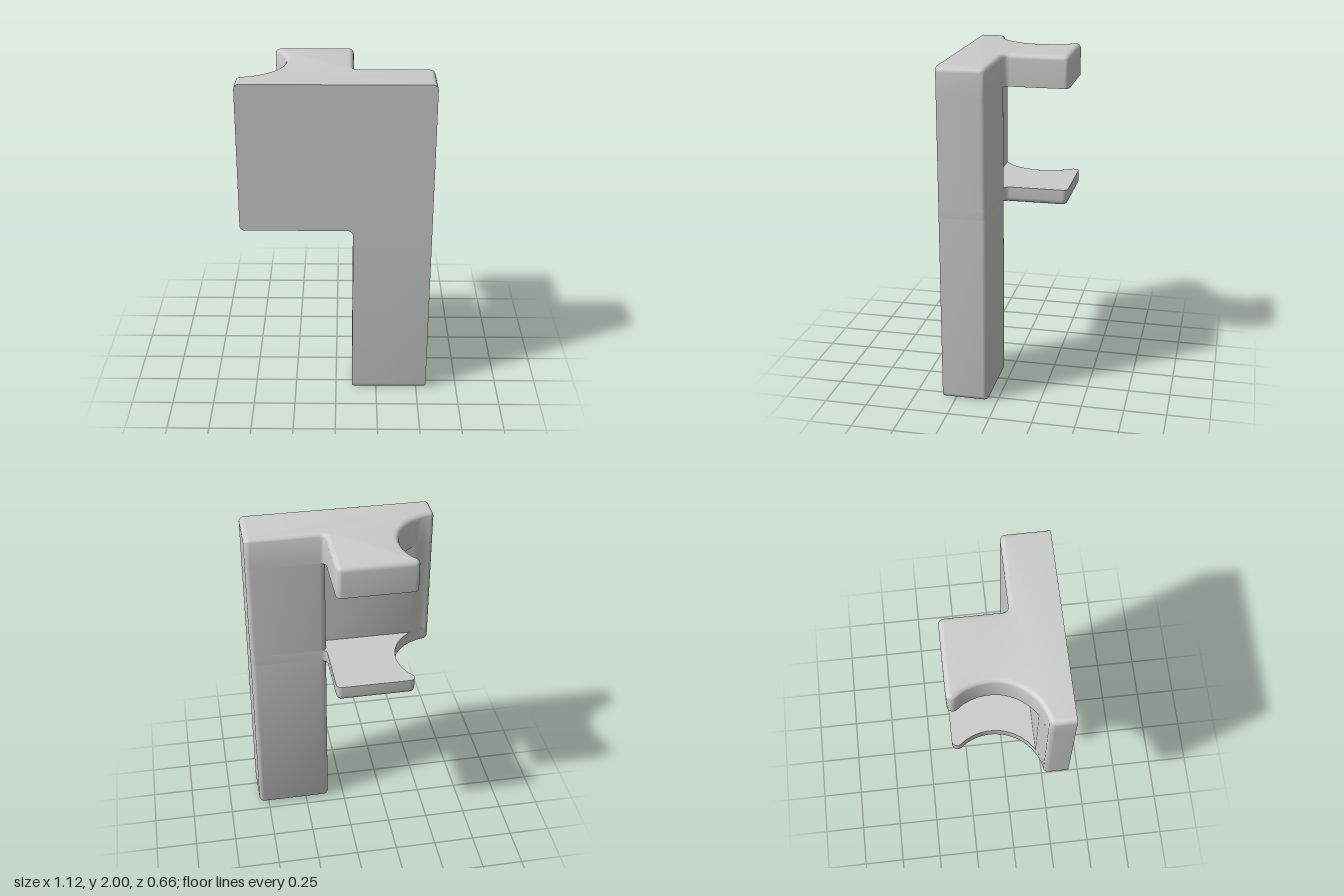
import * as THREE from 'three';
import { toCreasedNormals } from 'three/addons/utils/BufferGeometryUtils.js';

const R = 0.032;     // corner radius in plan
const B = 0.03;      // edge rounding in height
const FRONT = -0.33; // plan coordinate w = -z of the flat front

// Points along an arc, angles in degrees
function arc(cx, cw, r, a0, a1, n = 6) {
  return Array.from({ length: n + 1 }, (_, i) => {
    const a = THREE.MathUtils.degToRad(a0 + ((a1 - a0) * i) / n);
    return new THREE.Vector2(cx + r * Math.cos(a), cw + r * Math.sin(a));
  });
}

const pt = (x, w) => new THREE.Vector2(x, w);
const dedupe = (pts) => pts.filter((p, i) => i === 0 || p.distanceTo(pts[i - 1]) > 0.004);

// Mitred inset of a counter-clockwise outline; the front edge may stay in place
function inset(pts, d, keepFront) {
  const n = pts.length;
  const normal = (a, b) => pt(b.y - a.y, a.x - b.x).normalize();
  return pts.map((p, i) => {
    const n1 = normal(pts[(i + n - 1) % n], p);
    const n2 = normal(p, pts[(i + 1) % n]);
    const k = d / (1 + n1.dot(n2));
    const q = pt(p.x - (n1.x + n2.x) * k, p.y - (n1.y + n2.y) * k);
    if (keepFront && p.y < FRONT + 0.001) q.y = FRONT;
    return q;
  });
}

// Stack of inset outlines; levels are [y, inset] from bottom to top
function loft(pts, levels, { keepFront = true, bottom = true, top = true } = {}) {
  const rings = levels.map(([y, d]) =>
    inset(pts, d, keepFront).map((p) => new THREE.Vector3(p.x, y, -p.y)));
  const out = [];
  const tri = (...v) => v.forEach((p) => out.push(p.x, p.y, p.z));
  for (let l = 0; l + 1 < rings.length; l++) {
    const a = rings[l], b = rings[l + 1];
    for (let i = 0; i < a.length; i++) {
      const j = (i + 1) % a.length;
      tri(a[i], a[j], b[j]);
      tri(a[i], b[j], b[i]);
    }
  }
  const cap = (ring, up) => {
    const flat = ring.map((p) => pt(p.x, -p.z));
    for (const [a, b, c] of THREE.ShapeUtils.triangulateShape(flat, [])) {
      if (up) tri(ring[a], ring[b], ring[c]);
      else tri(ring[a], ring[c], ring[b]);
    }
  };
  if (bottom) cap(rings[0], false);
  if (top) cap(rings[rings.length - 1], true);
  const geo = new THREE.BufferGeometry();
  geo.setAttribute('position', new THREE.Float32BufferAttribute(out, 3));
  return toCreasedNormals(geo, 0.6);
}

// Quarter-round levels for a rounded top or bottom edge
const steps = [0, 1, 2, 3, 4, 5].map((i) => (i / 5) * Math.PI / 2);
const roundTop = (y) => steps.map((a) => [y - B + B * Math.sin(a), B * (1 - Math.cos(a))]);
const roundBottom = (y) => roundTop(0).map(([h, d]) => [y - h, d]).reverse();

export function createModel() {
  const group = new THREE.Group();
  const material = new THREE.MeshStandardMaterial({ color: 0xcccccc });
  const add = (name, geometry) => {
    const mesh = new THREE.Mesh(geometry, material);
    mesh.name = name;
    group.add(mesh);
    return mesh;
  };

  // Shared stretches of the plan outlines
  const frontAndLegSide = [pt(-0.56, FRONT), pt(0.56, FRONT), ...arc(0.56 - R, -0.05 - R, R, 0, 90)];
  const sideCorner = arc(-0.56 + R, -0.215, R, 100, 180);

  // Plan of the shelves with the round scoop
  const shelf = dedupe([
    ...frontAndLegSide,
    ...arc(0.1 + R, -0.05 + R, R, 270, 180),
    ...arc(0.1 - R, 0.33 - R, R, 0, 90),
    ...arc(-0.333, 0.33 - R, R, 90, 218),
    ...arc(-0.585, 0.1, 0.29, 38, -80, 14),
    ...sideCorner,
  ]);

  // Plan of the recessed panel between the shelves
  const panel = dedupe([
    ...frontAndLegSide,
    ...arc(0.1 + R, -0.05 - R, R, 90, 180),
    pt(0.1, -0.15),
    ...arc(-0.585, 0.1, 0.29, -59.5, -80, 3),
    ...sideCorner,
  ]);

  // Plan of the leg
  const leg = [
    pt(0.1, FRONT), pt(0.56, FRONT),
    ...arc(0.56 - R, -0.05 - R, R, 0, 90),
    ...arc(0.1 + R, -0.05 - R, R, 90, 180),
  ];

  add('topShelf', loft(shelf, [[1.81, 0], ...roundTop(2)]));
  add('recessedPanel', loft(panel, [[1.2, 0], [1.81, 0]], { bottom: false, top: false }));
  add('bottomShelf', loft(shelf, [...roundBottom(1.105), [1.2, 0]]));
  add('leg', loft(leg, [...roundBottom(0), [1.14, 0]], { keepFront: false, top: false }));

  // Fillet where the leg meets the underside of the block
  const f = 0.035, y = 1.105;
  const shape = new THREE.Shape();
  shape.moveTo(0.1, y);
  shape.lineTo(0.1 - f, y);
  shape.absarc(0.1 - f, y - f, f, Math.PI / 2, 0, true);
  shape.closePath();
  const fillet = new THREE.ExtrudeGeometry(shape, { depth: 0.28 - R, bevelEnabled: false, curveSegments: 6 });
  add('legFillet', toCreasedNormals(fillet, 0.6)).position.z = 0.05 + R;

  return group;
}
